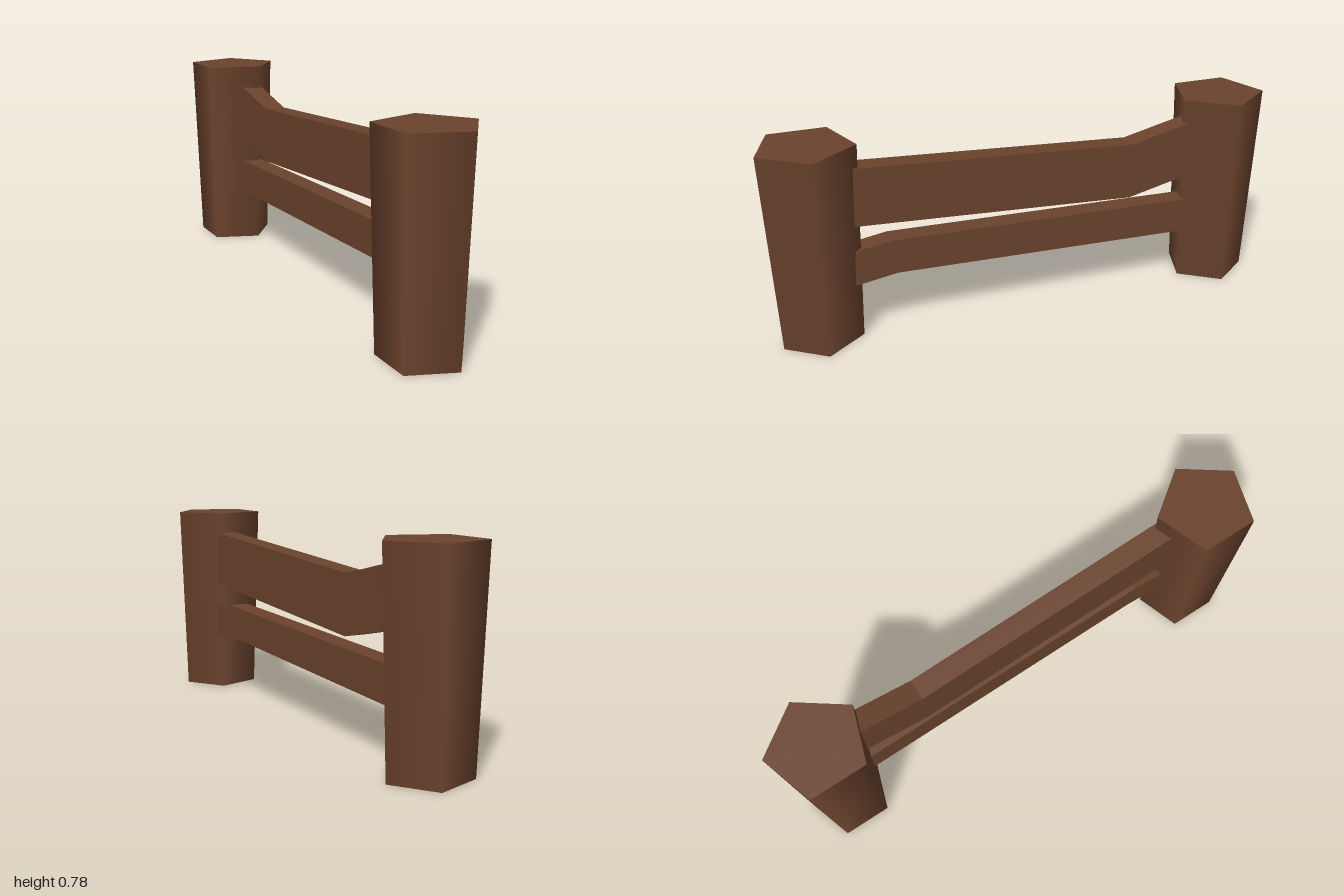
import * as THREE from 'three';

export function createModel() {
  const model = new THREE.Group();
  model.name = 'fence';
  const wood = new THREE.MeshStandardMaterial({ color: 0x6b432d });
  wood.name = 'brown wood';

  // Five-sided posts, widening towards the top, one corner facing +x
  const height = 0.777;
  const postShape = new THREE.CylinderGeometry(0.185, 0.159, height, 5, 1, false, Math.PI / 2);
  for (const [name, z] of [['frontPost', 0.821], ['backPost', -0.824]]) {
    const post = new THREE.Mesh(postShape, wood);
    post.name = name;
    post.position.set(-0.019, height / 2, z);
    model.add(post);
  }

  // Bent rails: side outline as [z, y] points, extruded across x
  function addRail(name, outline) {
    const shape = new THREE.Shape(outline.map(([z, y]) => new THREE.Vector2(z, y)));
    const geometry = new THREE.ExtrudeGeometry(shape, { depth: 0.083, bevelEnabled: false });
    geometry.rotateY(-Math.PI / 2).translate(0.052, 0, 0);
    const rail = new THREE.Mesh(geometry, wood);
    rail.name = name;
    model.add(rail);
  }
  addRail('upperRail', [
    [0.69, 0.467], [-0.42, 0.406], [-0.685, 0.467],
    [-0.675, 0.688], [-0.425, 0.63], [0.68, 0.692],
  ]);
  addRail('lowerRail', [
    [0.7, 0.224], [0.53, 0.25], [-0.698, 0.215],
    [-0.692, 0.356], [0.545, 0.387], [0.692, 0.364],
  ]);
  return model;
}
